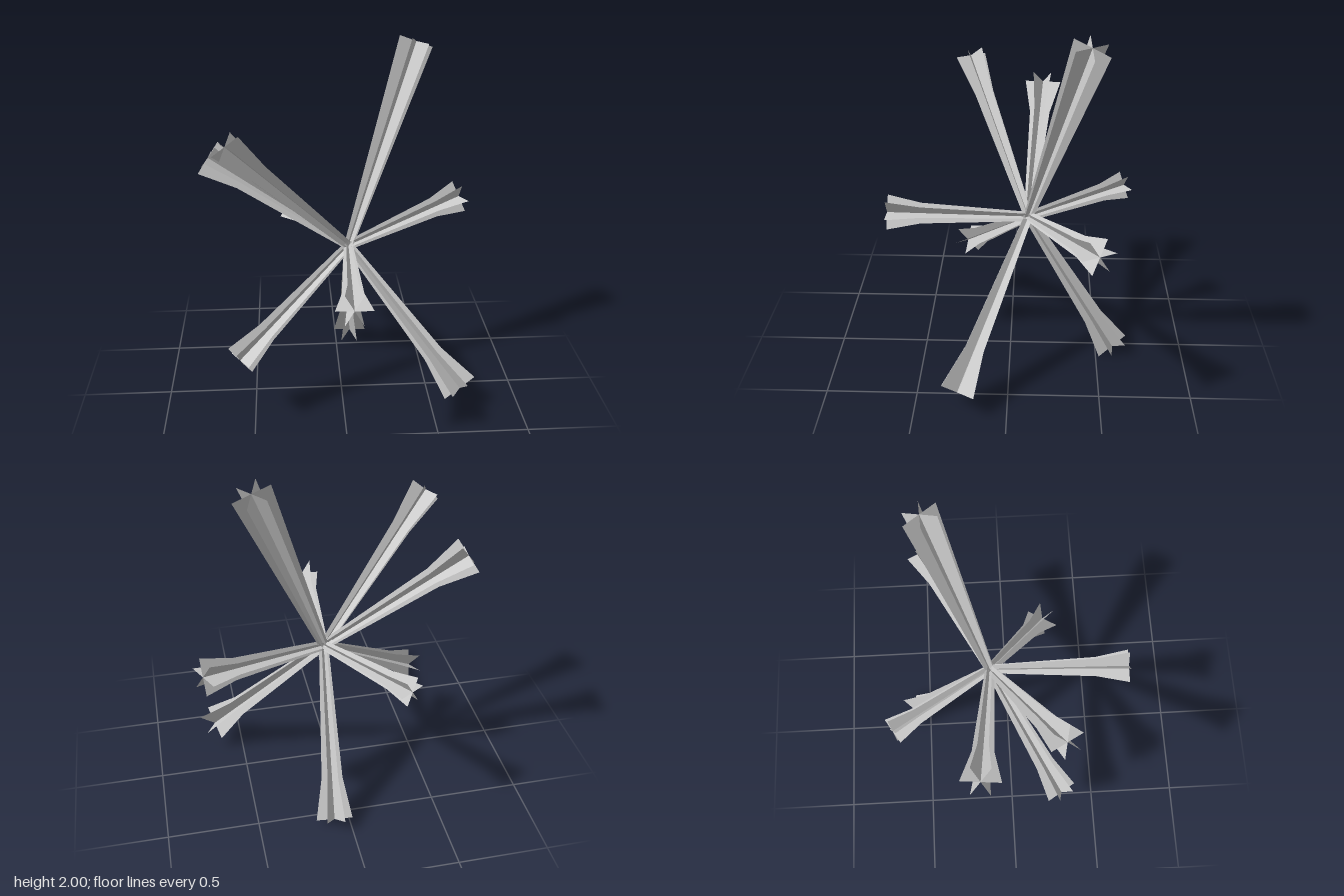
import * as THREE from 'three';

const CENTRE = new THREE.Vector3(0.047, 0.873, -0.1);
const BLADES = 3; // flat blades crossing along each arm's axis

// Flat flared blades along +z, crossing at equal angles.
// sections: [z, half width]
function crossedBlades(sections) {
  const pos = [], index = [];
  for (let k = 0; k < BLADES; k++) {
    const a = (k / BLADES) * Math.PI, c = Math.cos(a), s = Math.sin(a);
    const first = k * sections.length * 2;
    sections.forEach(([z, w], i) => {
      pos.push(-c * w, -s * w, z, c * w, s * w, z);
      if (i === 0) return;
      const q = first + (i - 1) * 2;
      index.push(q, q + 1, q + 3, q, q + 3, q + 2);
    });
  }
  const g = new THREE.BufferGeometry();
  g.setAttribute('position', new THREE.Float32BufferAttribute(pos, 3));
  g.setIndex(index);
  g.computeVertexNormals();
  return g;
}

// tip: centre of the outer end, r: half width there, neck: half width where the flare begins
const ARMS = [
  { name: 'tallArm', tip: [0.44, 1.965, -0.395], r: 0.1, neck: 0.082 },
  { name: 'leftBackArm', tip: [0.733, 1.017, -0.453], r: 0.097 },
  { name: 'leftLowerArm', tip: [0.655, 0.132, 0.264], r: 0.105 },
  { name: 'backLowerArm', tip: [0.09, 0.047, -0.597], r: 0.1 },
  { name: 'rightLowerArm', tip: [-0.572, 0.375, 0.288], r: 0.093 },
  { name: 'rightBackArm', tip: [-0.3, 0.908, -0.65], r: 0.08, neck: 0.05 },
  { name: 'rightArm', tip: [-0.722, 1.388, -0.172], r: 0.105 },
  { name: 'rightUpperArm', tip: [-0.6, 1.587, 0.25], r: 0.091 },
  { name: 'frontArm', tip: [0.023, 0.875, 0.688], r: 0.098 },
];

export function createModel() {
  const model = new THREE.Group();
  model.name = 'radialBurst';
  const material = new THREE.MeshStandardMaterial({
    color: 0xcccccc,
    side: THREE.DoubleSide,
  });

  // Arms radiate from one shared centre, first blade kept level
  for (const { name, tip, r, neck = 0.058 } of ARMS) {
    const end = new THREE.Vector3(...tip);
    const length = end.distanceTo(CENTRE);
    const arm = new THREE.Mesh(
      crossedBlades([[0, 0.026], [length * 0.76, neck], [length, r]]),
      material,
    );
    arm.name = name;
    arm.position.copy(CENTRE);
    arm.lookAt(end);
    model.add(arm);
  }
  return model;
}
